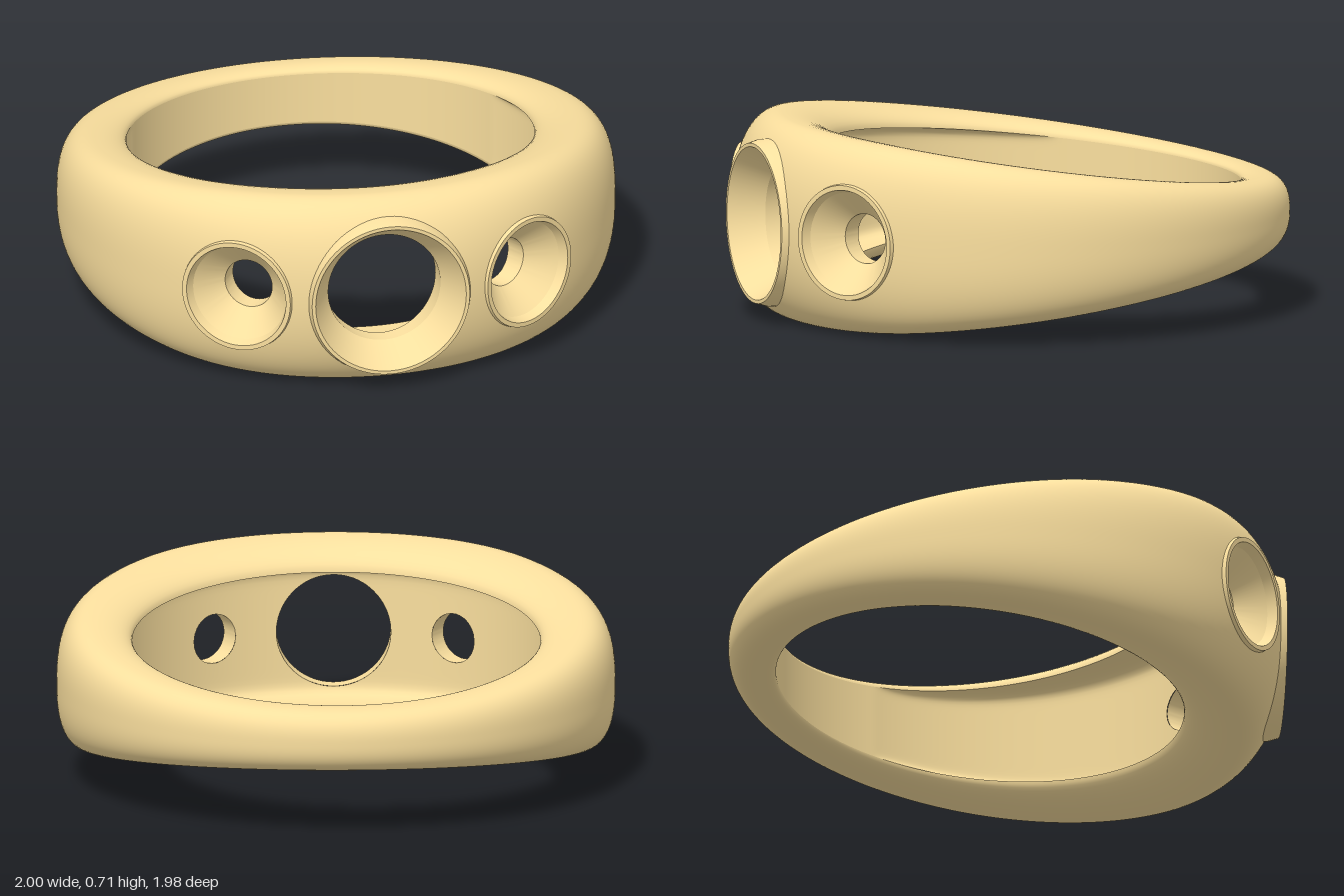
import * as THREE from 'three';
import { toCreasedNormals } from 'three/addons/utils/BufferGeometryUtils.js';

const MID = 0.362;                       // height of the ring's middle plane
const INNER = { r: 0.73, z: -0.09 };     // finger opening
const OUTER = { r: 1, z: 0.01 };
const CAVITY = { r: 0.785, z: 0.02 };    // hollow behind the stones
const CREASE = 0.75;                     // inner wall edge, as a share of half height

// Stone seats: angle about y, cut radii, and profile [radius, distance along axis]
const mainSeat = {
  angle: 0, cut: 0.29, bore: 0.205,
  profile: [[0.308, 0.82], [0.3, 0.95], [0.288, 0.99], [0.275, 0.99], [0.205, 0.87], [0.205, 0.5]],
};
const sideSeat = (angle) => ({
  angle, cut: 0.197, bore: 0.09,
  profile: [[0.212, 0.84], [0.21, 0.985], [0.207, 1], [0.19, 1], [0.178, 0.965], [0.09, 0.875], [0.09, 0.5]],
});
const seats = [mainSeat, sideSeat(0.565), sideSeat(-0.565)];

// Point on the band: theta around the ring, s from inner to outer, f share of half height
function bandPoint(theta, s, f) {
  const r = THREE.MathUtils.lerp(INNER.r, OUTER.r, s);
  const z = THREE.MathUtils.lerp(INNER.z, OUTER.z, s) + r * Math.cos(theta);
  const taper = z - 1.3 * Math.max(0, z - 0.6) ** 2;
  return [r * Math.sin(theta), MID + f * (0.243 + 0.145 * taper), z];
}

// Outer shell section: rounded inner rims and a superelliptic outside, rounder at the front
function shellSection(theta) {
  const e = 2.6 - 0.55 * Math.max(0, Math.cos(theta)) ** 4;
  const rim = [], outside = [];
  for (let k = 0; k < 10; k++) {
    const a = (k / 10) * Math.PI / 2;
    rim.push([0.5 - 0.5 * Math.cos(a), CREASE + (1 - CREASE) * Math.sin(a)]);
  }
  for (let k = 0; k <= 48; k++) {
    const a = (k / 48 - 0.5) * Math.PI, c = Math.abs(Math.cos(a)), sn = Math.sin(a);
    const q = (c ** e + Math.abs(sn) ** e) ** (-1 / e);
    outside.push([0.5 + 0.5 * q * c, q * sn]);
  }
  return [...rim.map(([s, f]) => [s, -f]), ...outside, ...rim.reverse()];
}

// Inner wall section, hollowed out between its edges towards the front
function wallSection(theta) {
  const o = CAVITY.z - INNER.z, c = Math.cos(theta);
  const reach = o * c + Math.sqrt(CAVITY.r ** 2 - (o * Math.sin(theta)) ** 2);
  const depth = Math.max(0, reach - INNER.r) / (OUTER.r - INNER.r + (OUTER.z - INNER.z) * c);
  const wall = [];
  for (let k = 0; k <= 32; k++) {
    const v = Math.cos((k / 32) * Math.PI);
    wall.push([depth * (1 - v ** 16), CREASE * v]);
  }
  return wall;
}

// Closed sweep of a section around the ring
function sweep(section, n = 300) {
  const pos = [], idx = [], m = section(0).length;
  for (let i = 0; i < n; i++) {
    const theta = (i / n) * Math.PI * 2;
    for (const [s, f] of section(theta)) pos.push(...bandPoint(theta, s, f));
  }
  for (let i = 0; i < n; i++)
    for (let j = 0; j < m - 1; j++) {
      const a = i * m + j, b = ((i + 1) % n) * m + j;
      idx.push(a, b, a + 1, b, b + 1, a + 1);
    }
  const geo = new THREE.BufferGeometry();
  geo.setAttribute('position', new THREE.Float32BufferAttribute(pos, 3));
  geo.setIndex(idx);
  geo.computeVertexNormals();
  return geo;
}

// Cut round holes along the seat axes, clipping each triangle at the hole edge
function cutHoles(geo, key, minDepth) {
  const P = geo.attributes.position, N = geo.attributes.normal, pos = [], nor = [];
  const outside = (v, seat) => {
    const sn = Math.sin(seat.angle), cs = Math.cos(seat.angle);
    const across = v[0] * cs - v[2] * sn, along = v[0] * sn + v[2] * cs;
    return Math.max(Math.hypot(across, v[1] - MID) - seat[key], minDepth - along);
  };
  for (let t = 0; t < geo.index.count; t += 3) {
    let poly = [0, 1, 2].map((k) => {
      const i = geo.index.getX(t + k);
      return [P.getX(i), P.getY(i), P.getZ(i), N.getX(i), N.getY(i), N.getZ(i)];
    });
    for (const seat of seats) {
      const kept = [];
      poly.forEach((a, k) => {
        const b = poly[(k + 1) % poly.length];
        const da = outside(a, seat), db = outside(b, seat);
        if (da >= 0) kept.push(a);
        if (da >= 0 !== db >= 0) kept.push(a.map((v, c) => v + ((b[c] - v) * da) / (da - db)));
      });
      poly = kept;
    }
    for (let k = 1; k < poly.length - 1; k++)
      for (const v of [poly[0], poly[k], poly[k + 1]]) {
        pos.push(v[0], v[1], v[2]);
        nor.push(v[3], v[4], v[5]);
      }
  }
  const out = new THREE.BufferGeometry();
  out.setAttribute('position', new THREE.Float32BufferAttribute(pos, 3));
  out.setAttribute('normal', new THREE.Float32BufferAttribute(nor, 3));
  return out;
}

// Collar, tapered seat and bore in one turned piece; the bore ends on the hollow's wall
function seatGeometry({ angle, profile }) {
  const geo = new THREE.LatheGeometry(profile.map(([r, y]) => new THREE.Vector2(r, y)), 72);
  geo.rotateX(Math.PI / 2);
  const p = geo.attributes.position;
  const cx = -Math.sin(angle) * CAVITY.z, cz = Math.cos(angle) * CAVITY.z;
  for (let i = 0; i < p.count; i++)
    if (p.getZ(i) < 0.55) p.setZ(i, cz + Math.sqrt(CAVITY.r ** 2 - (p.getX(i) - cx) ** 2));
  geo.rotateY(angle).translate(0, MID, 0);
  return toCreasedNormals(geo, 0.4);
}

export function createModel() {
  const group = new THREE.Group();
  const material = new THREE.MeshStandardMaterial({ color: 0xfadf9e });
  const add = (name, geo) => {
    const mesh = new THREE.Mesh(geo, material);
    mesh.name = name;
    group.add(mesh);
  };

  // Band
  add('bandOutside', cutHoles(sweep(shellSection), 'cut', 0.82));
  add('bandInnerWall', cutHoles(sweep(wallSection), 'bore', 0));

  // Stone seats
  ['mainStoneSeat', 'leftStoneSeat', 'rightStoneSeat'].forEach((name, i) => add(name, seatGeometry(seats[i])));
  return group;
}
